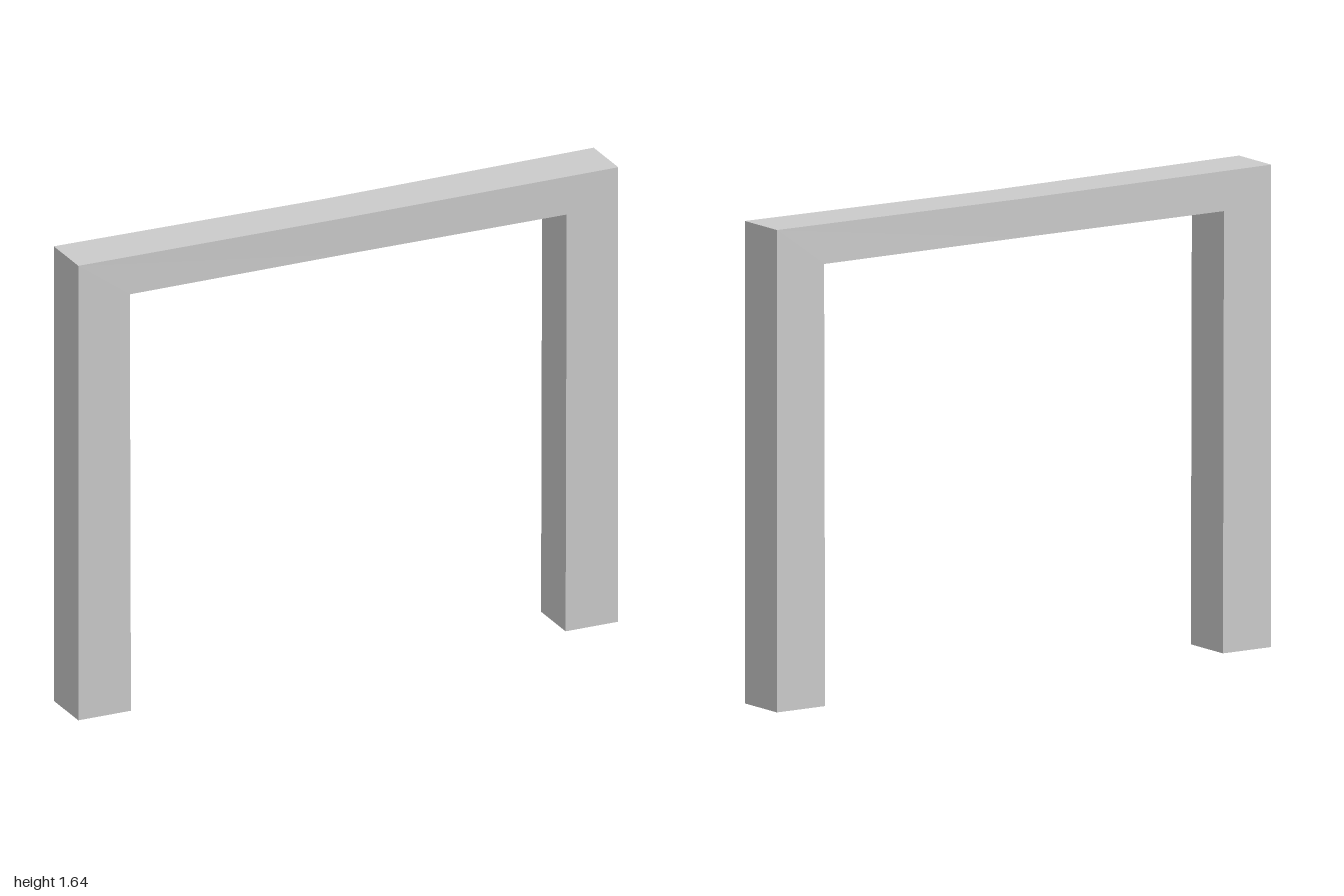
import * as THREE from 'three';

// Rectangular section of the frame: outer and inner outline points plus half depth
function section(outerX, outerY, innerX, innerY, d) {
  return [
    [outerX, outerY, d], [outerX, outerY, -d],
    [innerX, innerY, -d], [innerX, innerY, d],
  ];
}

export function createModel() {
  const group = new THREE.Group();
  group.name = 'archFrame';

  // Sections from the left foot, over the slightly waisted beam, to the right foot
  const sections = [
    section(1, 0, 0.805, 0, 0.095),
    section(1, 1.643, 0.809, 1.506, 0.095),
    section(0, 1.638, 0, 1.506, 0.09),
    section(-1, 1.643, -0.809, 1.506, 0.095),
    section(-1, 0, -0.805, 0, 0.095),
  ];

  // Four walls per stretch; the feet stay open
  const index = [];
  for (let i = 0; i < sections.length - 1; i++) {
    for (let k = 0; k < 4; k++) {
      const a = i * 4 + k, b = i * 4 + (k + 1) % 4;
      index.push(a, b, b + 4, a, b + 4, a + 4);
    }
  }
  const shell = new THREE.BufferGeometry();
  shell.setAttribute('position', new THREE.Float32BufferAttribute(sections.flat(2), 3));
  shell.setIndex(index);
  const geometry = shell.toNonIndexed();
  geometry.computeVertexNormals();

  const frame = new THREE.Mesh(geometry, new THREE.MeshStandardMaterial({
    color: 0xcccccc, flatShading: true, side: THREE.DoubleSide,
  }));
  frame.name = 'legsAndBeam';
  group.add(frame);
  return group;
}
